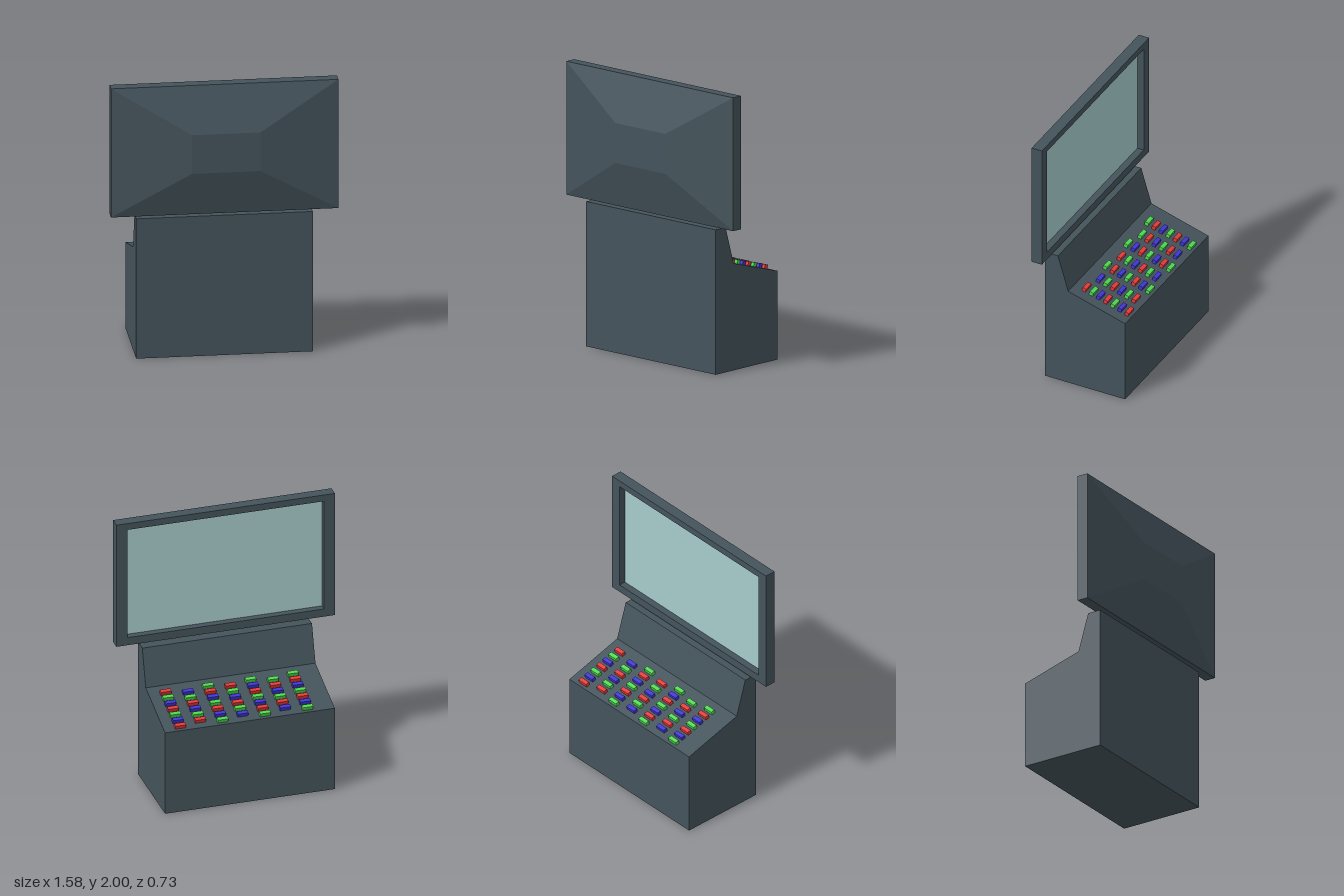
import * as THREE from 'three';

const paint = (color) => new THREE.MeshStandardMaterial({ color, flatShading: true });

function add(parent, name, geometry, material) {
  const mesh = new THREE.Mesh(geometry, material);
  mesh.name = name;
  parent.add(mesh);
  return mesh;
}

function rectangle(Type, x0, y0, x1, y1) {
  return new Type([[x0, y0], [x1, y0], [x1, y1], [x0, y1]].map(([x, y]) => new THREE.Vector2(x, y)));
}

export function createModel() {
  const model = new THREE.Group();
  model.name = 'controlConsole';
  const body = paint(0x44535b);
  const glass = paint(0xa6cccb);
  const lamps = { R: paint(0xe83a3a), G: paint(0x4fdc4f), B: paint(0x4036da) };

  // Console: side profile swept across the width (profile x is -z)
  const width = 1.23;
  const profile = new THREE.Shape([
    [-0.26, 0], [0.365, 0], [0.365, 0.63], [-0.08, 0.76], [-0.16, 1.03], [-0.26, 1.03],
  ].map(([x, y]) => new THREE.Vector2(x, y)));
  const consoleGeometry = new THREE.ExtrudeGeometry(profile, { depth: width, bevelEnabled: false });
  consoleGeometry.translate(0, 0, -width / 2).rotateY(Math.PI / 2);
  add(model, 'consoleBody', consoleGeometry, body);

  // Buttons: staggered columns on the sloping desk, one string per column
  const slope = Math.atan2(0.76 - 0.63, 0.445);
  const columns = ['GBRGBRG', 'BRGBRG', 'GRBGRBG', 'BGRBGR', 'GBRGBRG', 'RGBRGB', 'RBGRBGR'];
  const buttonGeometry = new THREE.BoxGeometry(0.076, 0.028, 0.029);
  const buttons = new THREE.Group();
  buttons.name = 'buttons';
  model.add(buttons);
  columns.forEach((column, c) => {
    [...column].forEach((colour, r) => {
      const z = -0.335 + 0.0556 * (r + (c % 2) / 2);
      const button = add(buttons, 'button', buttonGeometry, lamps[colour]);
      button.position.set(-0.425 + 0.1537 * c, 0.76 + (z - 0.08) * Math.tan(slope) + 0.014, z);
      button.rotation.x = -slope;
    });
  });

  // Monitor: frame with an opening, recessed glass and tapering rear shell
  const monitor = new THREE.Group();
  monitor.name = 'monitor';
  monitor.position.y = 1.526;
  model.add(monitor);
  const w = 1.584, h = 0.948;
  const outline = rectangle(THREE.Shape, -w / 2, -h / 2, w / 2, h / 2);
  outline.holes.push(rectangle(THREE.Path, -0.713, -0.415, 0.713, 0.425));
  const frame = add(monitor, 'frame', new THREE.ExtrudeGeometry(outline, { depth: 0.08, bevelEnabled: false }), body);
  frame.position.z = 0.192;
  const screen = add(monitor, 'screen', new THREE.BoxGeometry(1.426, 0.84, 0.03), glass);
  screen.position.set(0, 0.005, 0.257);

  const shellGeometry = new THREE.BoxGeometry(w, h, 0.095);
  const p = shellGeometry.attributes.position;
  for (let i = 0; i < p.count; i++) {
    if (p.getZ(i) > 0) p.setXY(i, p.getX(i) * 0.3, p.getY(i) * 0.3);
  }
  shellGeometry.computeVertexNormals();
  add(monitor, 'rearShell', shellGeometry, body).position.z = 0.272 + 0.0475;

  return model;
}
